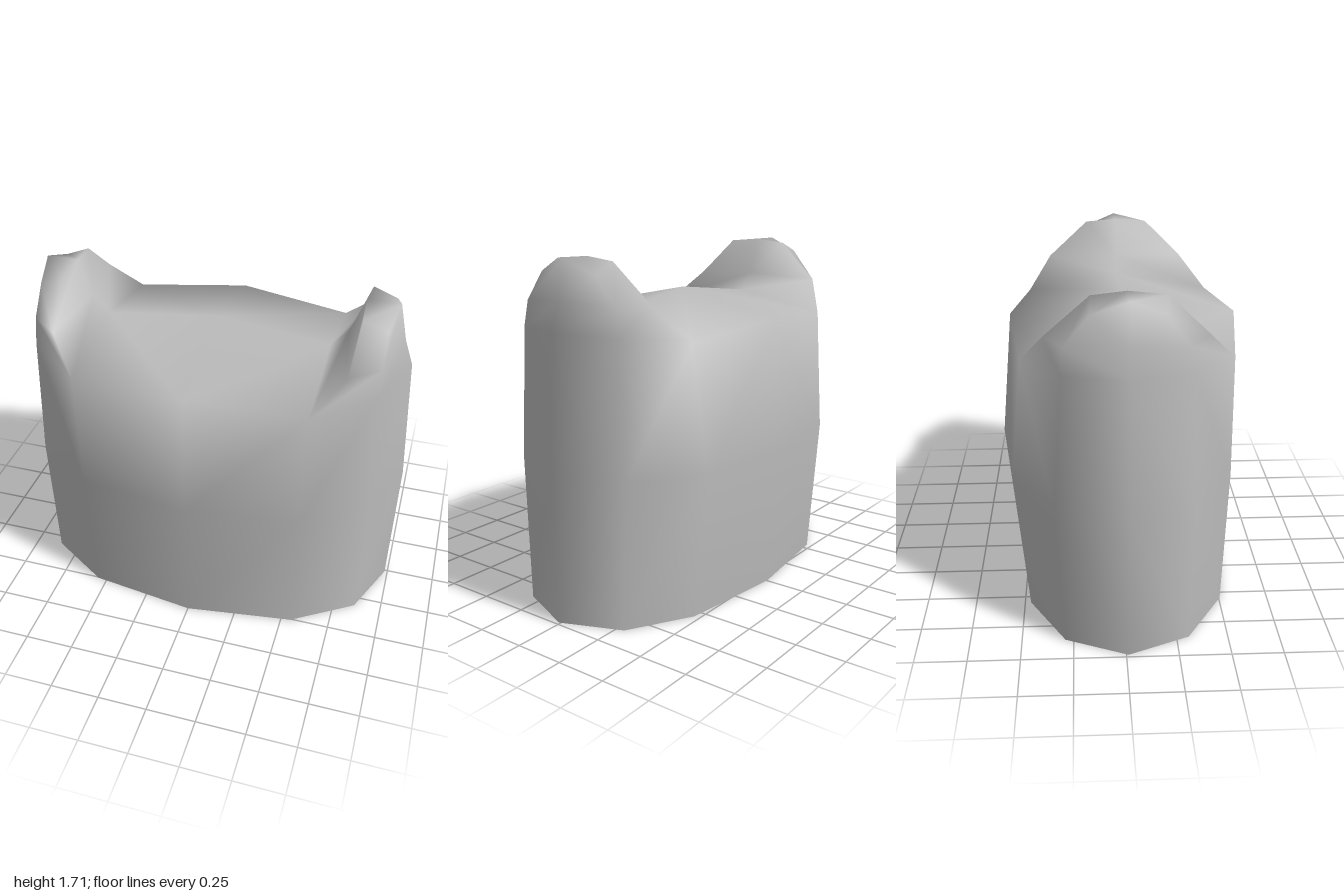
import * as THREE from 'three';
import { mergeVertices } from 'three/addons/utils/BufferGeometryUtils.js';

// Closed-top, open-bottom cover with a rounded peak at each side.
export function createModel() {
  const group = new THREE.Group();
  const grey = new THREE.MeshStandardMaterial({ color: 0xbcbcbc, side: THREE.DoubleSide });
  grey.name = 'grey';

  // Half-rings on +x, running front centre -> side -> back centre
  const body = [
    [[0, 0, .58], [.55, 0, .505], [.86, 0, .31], [.985, 0, .01], [.86, 0, -.29], [.55, 0, -.47], [0, 0, -.54]],
    [[0, .73, .605], [.56, .73, .525], [.87, .73, .32], [1, .73, .01], [.87, .73, -.325], [.53, .73, -.535], [0, .73, -.61]],
    [[0, 1.38, .595], [.57, 1.34, .515], [.85, 1.37, .3], [.965, 1.39, .01], [.85, 1.37, -.28], [.57, 1.34, -.475], [0, 1.38, -.55]],
  ];
  // Outer wall of the peak, above the top body ring
  const peak = [
    body[2].slice(1, 6),
    [[.71, 1.5, .38], [.85, 1.5, .27], [.92, 1.52, .01], [.85, 1.5, -.27], [.71, 1.5, -.36]],
    [[.73, 1.69, .185], [.85, 1.64, .17], [.88, 1.705, .01], [.85, 1.64, -.155], [.73, 1.69, -.15]],
  ];
  // Saddle between the peaks: front rim, ridge, back rim
  const ridge = [[0, 1.5, .01], [.57, 1.43, .01], [.65, 1.52, .01], [.72, 1.705, .01]];
  const saddle = [
    [body[2][0], ...peak.map(r => r[0])],
    ridge,
    [body[2][6], ...peak.map(r => r[4])],
  ];
  // Small cap closing the tip of the peak
  const tip = peak[2];
  const cap = [[tip[0], tip[1]], [ridge[3], tip[2]], [tip[4], tip[3]]];

  // Fill each grid of points, on both sides
  const pos = [];
  const fill = rows => {
    for (let r = 0; r < rows.length - 1; r++) {
      for (let c = 0; c < rows[r].length - 1; c++) {
        const a = rows[r][c], b = rows[r][c + 1], d = rows[r + 1][c + 1], e = rows[r + 1][c];
        for (const p of [a, b, d, a, d, e]) pos.push(...p);
        for (const [x, y, z] of [a, d, b, a, e, d]) pos.push(x === 0 ? 0 : -x, y, z);
      }
    }
  };
  [body, peak, saddle, cap].forEach(fill);

  let geometry = new THREE.BufferGeometry();
  geometry.setAttribute('position', new THREE.Float32BufferAttribute(pos, 3));
  geometry = mergeVertices(geometry, 1e-4);
  geometry.computeVertexNormals();

  const cover = new THREE.Mesh(geometry, grey);
  cover.name = 'cover';
  group.add(cover);
  return group;
}
